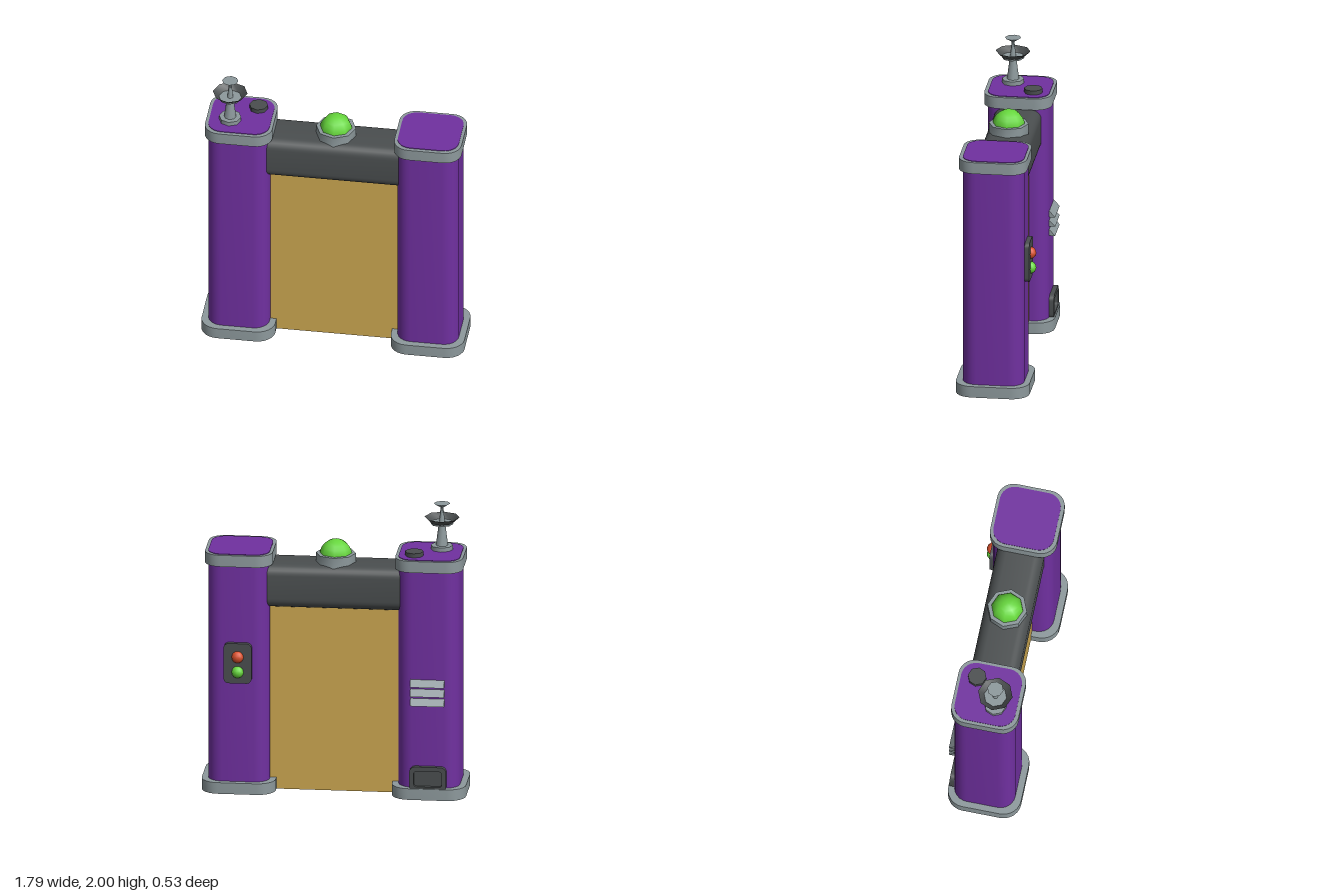
import * as THREE from 'three';
import { toCreasedNormals } from 'three/addons/utils/BufferGeometryUtils.js';

const mat = (name, color, side = THREE.FrontSide) => {
  const m = new THREE.MeshStandardMaterial({ color, side });
  m.name = name;
  return m;
};

// Rounded rectangle centred on the origin
function roundRect(w, h, r, Type = THREE.Shape) {
  const s = new Type(), x = w / 2, y = h / 2, q = Math.PI / 2;
  s.moveTo(x, r - y);
  s.lineTo(x, y - r);
  s.absarc(x - r, y - r, r, 0, q);
  s.lineTo(r - x, y);
  s.absarc(r - x, y - r, r, q, 2 * q);
  s.lineTo(-x, r - y);
  s.absarc(r - x, r - y, r, 2 * q, 3 * q);
  s.lineTo(x - r, -y);
  s.absarc(x - r, r - y, r, 3 * q, 4 * q);
  return s;
}

const extrude = (shape, depth) => toCreasedNormals(
  new THREE.ExtrudeGeometry(shape, { depth, bevelEnabled: false, curveSegments: 3 }), 0.65);

// Upright rounded block from y0 to y1
const block = (w, d, r, y0, y1) =>
  extrude(roundRect(w, d, r), y1 - y0).rotateX(-Math.PI / 2).translate(0, y0, 0);

// Octagonal cylinder standing on y0
const octagon = (rTop, rBottom, y0, y1, open = false) => toCreasedNormals(
  new THREE.CylinderGeometry(rTop, rBottom, y1 - y0, 8, 1, open).translate(0, (y0 + y1) / 2, 0), 0.9);

export function createModel() {
  const purple = mat('purple paint', 0x7030a0);
  const grey = mat('grey metal', 0x8d999c);
  const dark = mat('dark metal', 0x4a4e4f);
  const dishDark = dark.clone();
  dishDark.side = THREE.DoubleSide;
  const gold = mat('gold panel', 0xcba650);
  const green = mat('green light', 0x66d63c);
  const red = mat('red light', 0xd9502c);

  const model = new THREE.Group();
  model.name = 'gate';
  const add = (name, geometry, material, x = 0, y = 0, z = 0, parent = model) => {
    const m = new THREE.Mesh(geometry, material);
    m.name = name;
    m.position.set(x, y, z);
    parent.add(m);
    return m;
  };

  // Two pillars, each with a foot and a collar around the top
  for (const [side, sx] of [['left', 1], ['right', -1]]) {
    const x = sx * 0.643;
    add(side + 'Pillar', block(0.415, 0.415, 0.1, 0.01, 1.679), purple, x, 0, 0.0125);
    add(side + 'Foot', block(0.5, 0.5, 0.12, 0.002, 0.08), grey, x, 0, 0.015);
    add(side + 'Collar', block(0.457, 0.46, 0.11, 1.595, 1.675), grey, x, 0, 0.015);
  }

  // Door panel and the roller housing above it
  add('doorPanel', new THREE.BoxGeometry(1.29, 1.32, 0.16), gold, 0, 0.66, 0.01);
  add('topBeam', extrude(roundRect(0.32, 0.3, 0.07), 0.9)
    .rotateY(Math.PI / 2).translate(-0.45, 0, 0), dark, 0, 1.44, 0.01);

  // Beacon on the beam
  add('beaconBase', octagon(0.135, 0.135, 1.575, 1.65), grey, 0, 0, 0.01);
  add('beaconDome', new THREE.SphereGeometry(0.11, 8, 6, 0, Math.PI * 2, 0, Math.PI / 2),
    green, 0, 1.636, 0.01);

  // Antenna with an open dish
  const antenna = new THREE.Group();
  antenna.name = 'antenna';
  antenna.position.set(-0.71, 0, 0.075);
  model.add(antenna);
  const stack = (name, geometry, material) => add(name, geometry, material, 0, 0, 0, antenna);
  stack('antennaBase', octagon(0.075, 0.075, 1.675, 1.708), grey);
  stack('antennaMast', octagon(0.022, 0.042, 1.7, 1.86), grey);
  stack('dishFloor', octagon(0.078, 0.075, 1.856, 1.868), grey);
  stack('dishWall', octagon(0.118, 0.075, 1.866, 1.905, true), dishDark);
  stack('antennaRod', octagon(0.009, 0.02, 1.866, 1.98), grey);
  stack('antennaTip', octagon(0.055, 0.008, 1.972, 2), grey);

  // Small cap beside the antenna
  add('roofKnob', octagon(0.063, 0.063, 1.675, 1.708), dark, -0.54, 0, -0.085);

  // Signal box on the back of the left pillar
  add('signalBox', extrude(roundRect(0.19, 0.28, 0.035), 0.04), dark, 0.64, 0.92, -0.226);
  for (const [name, m, y] of [['redLamp', red, 0.965], ['greenLamp', green, 0.86]])
    add(name, new THREE.SphereGeometry(0.042, 12, 8), m, 0.64, y, -0.22);

  // Louvre slats on the back of the right pillar
  const wedge = new THREE.Shape([[0, 0], [0.05, 0], [0, 0.055]].map(p => new THREE.Vector2(...p)));
  for (let i = 0; i < 3; i++)
    add('ventSlat' + (i + 1), extrude(wedge, 0.23).rotateY(Math.PI / 2).translate(-0.115, 0, 0),
      grey, -0.64, 0.662 + i * 0.066, -0.185);

  // Open hatch frame low on the back of the right pillar
  const frame = roundRect(0.25, 0.17, 0.04);
  frame.holes.push(roundRect(0.19, 0.11, 0.02, THREE.Path));
  add('hatchFrame', extrude(frame, 0.04), dark, -0.645, 0.147, -0.227);
  add('hatchBack', new THREE.BoxGeometry(0.2, 0.12, 0.008), dark, -0.645, 0.147, -0.197);

  return model;
}

// The slats are extruded along x with the sharp edge pointing to the back
